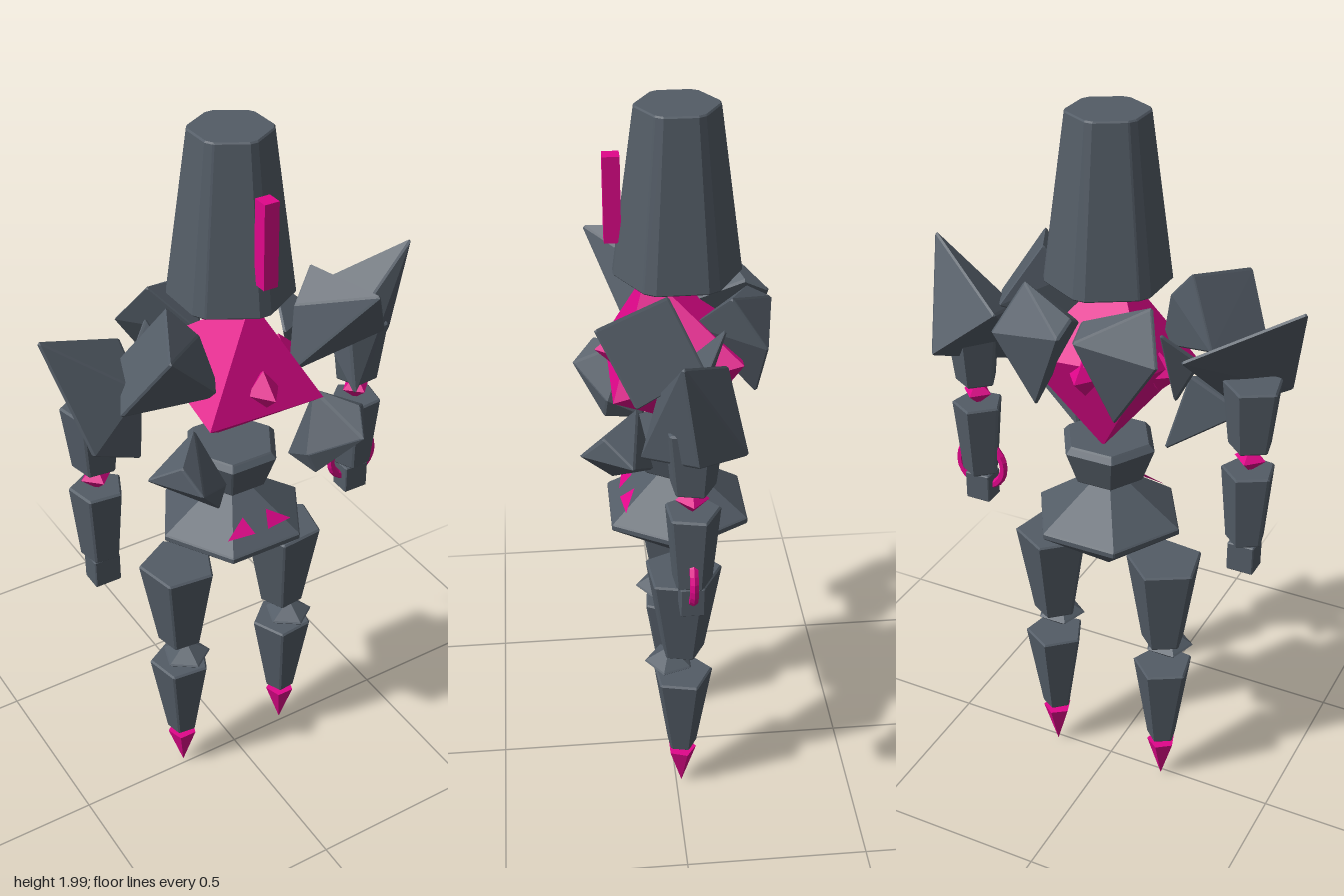
import * as THREE from 'three';
import { ConvexGeometry } from 'three/addons/geometries/ConvexGeometry.js';

const V = (x, y, z) => new THREE.Vector3(x, y, z);

// Regular ring of corner points; phase in degrees
function ring(sides, radius, y, phase = 0, cx = 0, cz = 0) {
  return Array.from({ length: sides }, (_, i) => {
    const a = THREE.MathUtils.degToRad(phase) + (i / sides) * Math.PI * 2;
    return V(cx + Math.cos(a) * radius, y, cz + Math.sin(a) * radius);
  });
}

// Convex stone block with narrow bevelled edges
function block(points, bevel = 0.006) {
  const center = points.reduce((s, p) => s.add(p), V(0, 0, 0)).divideScalar(points.length);
  const out = [];
  for (const p of points) {
    const q = p.clone().add(center.clone().sub(p).setLength(bevel * 1.3));
    for (const s of [-bevel, bevel]) {
      out.push(V(q.x + s, q.y, q.z), V(q.x, q.y + s, q.z), V(q.x, q.y, q.z + s));
    }
  }
  return new ConvexGeometry(out);
}

const mirror = (points, side) => points.map((p) => V(p.x * side, p.y, p.z));
const list = (rows) => rows.map((r) => V(...r));

export function createModel() {
  const model = new THREE.Group();
  model.name = 'crystalGolem';

  const stone = new THREE.MeshStandardMaterial({ color: 0x535c66, flatShading: true });
  stone.name = 'slate stone';
  const crystal = new THREE.MeshStandardMaterial({ color: 0xe0068a, flatShading: true, side: THREE.DoubleSide });
  crystal.name = 'magenta crystal';

  const add = (name, geometry, material, x = 0, y = 0, z = 0) => {
    const mesh = new THREE.Mesh(geometry, material);
    mesh.name = name;
    mesh.position.set(x, y, z);
    model.add(mesh);
    return mesh;
  };
  const gem = (name, x, y, z, rx, ry, rz) => {
    const mesh = add(name, new THREE.OctahedronGeometry(1), crystal, x, y, z);
    mesh.scale.set(rx, ry, rz);
    return mesh;
  };

  // Head: six sides with cut corners, and visor
  add('head', block([24, 36].flatMap((phase) => [
    ...ring(6, 0.16, 1.572, phase, 0, -0.016), ...ring(6, 0.102, 2.0, phase, 0, -0.016),
  ]), 0.004), stone);
  add('visor', new THREE.BoxGeometry(0.04, 0.22, 0.042), crystal, 0, 1.77, 0.143);

  // Chest core, tipped forward, with a small spike on each side
  const core = add('core', new THREE.OctahedronGeometry(0.238), crystal, 0, 1.348, -0.002);
  core.rotation.set(0.27, Math.PI / 4, -0.04, 'XZY');
  gem('coreSpikeFront', 0, 1.36, 0.135, 0.046, 0.058, 0.06);
  gem('coreSpikeBack', 0, 1.36, -0.145, 0.046, 0.058, 0.06);
  for (const s of [-1, 1]) gem('coreSpikeSide', s * 0.145, 1.345, -0.02, 0.06, 0.055, 0.046);

  // Waist and pelvis
  add('waist', block([
    ...ring(6, 0.122, 1.122, 0, 0, -0.015),
    ...ring(6, 0.135, 1.107, 0, 0, -0.015),
    ...ring(6, 0.1, 1.01, 0, 0, -0.015),
  ], 0.004), stone);
  add('pelvis', block([
    V(0, 1.035, -0.015), V(0, 0.712, -0.015),
    ...ring(6, 0.21, 0.883, 0, 0, -0.015), ...ring(6, 0.21, 0.87, 0, 0, -0.015),
  ], 0.004), stone);

  // Shoulder plates: the two sides are turned differently
  add('leftShoulderPlate', block(list([
    [0.522, 1.585, 0.02], [0.505, 1.31, -0.02], [0.455, 1.31, -0.14],
    [0.275, 1.45, -0.11], [0.31, 1.225, 0.1], [0.31, 1.4, 0.06],
  ])), stone);
  add('rightShoulderPlate', block(list([
    [-0.522, 1.585, -0.02], [-0.255, 1.45, -0.14], [-0.458, 1.31, 0.107],
    [-0.32, 1.24, 0.08], [-0.295, 1.42, 0.06],
  ])), stone);

  // Shards around the core, given for the +x side
  const shards = {
    collarShard: [[0.205, 1.605, 0.025], [0.295, 1.57, 0.205], [0.1, 1.36, 0.1],
      [0.385, 1.405, 0.115], [0.295, 1.45, -0.055], [0.135, 1.525, 0.06]],
    ribShard: [[0.325, 1.2, 0.12], [0.24, 1.195, 0.248], [0.145, 1.07, 0.165],
      [0.13, 1.075, 0.06], [0.18, 1.285, 0.1], [0.265, 1.255, 0.19], [0.12, 1.13, 0.16]],
    backShard: [[0.228, 1.46, -0.212], [0.018, 1.5, -0.25], [0.012, 1.53, -0.19],
      [0.065, 1.45, -0.045], [0.175, 1.575, -0.13], [0.11, 1.28, -0.205]],
    sideShard: [[0.275, 1.42, -0.06], [0.19, 1.5, -0.115], [0.16, 1.4, -0.015], [0.205, 1.29, -0.05]],
  };

  for (const s of [-1, 1]) {
    const side = s > 0 ? 'left' : 'right';
    for (const [name, rows] of Object.entries(shards)) {
      add(side + name[0].toUpperCase() + name.slice(1), block(mirror(list(rows), s)), stone);
    }
    // Five-sided tapered limb segment
    const limb = (name, x, z, y0, r0, y1, r1) => add(side + name, block(mirror([
      ...ring(5, r0, y0, 120, x, z), ...ring(5, r1, y1, 120, x, z),
    ], s), 0.005), stone);

    // Arm
    limb('UpperArm', 0.398, -0.015, 1.19, 0.057, 1.37, 0.078);
    gem(side + 'Elbow', s * 0.398, 1.157, -0.015, 0.042, 0.038, 0.042);
    limb('Forearm', 0.397, -0.015, 0.91, 0.051, 1.127, 0.071);
    add(side + 'Hand', block(mirror(list([-1, 1].flatMap((a) => [-1, 1].flatMap((b) => [-1, 1].map((c) =>
      [0.396 + a * 0.036, 0.866 + b * 0.041, -0.015 + c * 0.03])))), s), 0.003), stone);

    // Leg
    limb('Thigh', 0.17, -0.015, 0.502, 0.06, 0.775, 0.107);
    add(side + 'Knee', block([
      V(s * 0.172, 0.515, 0.02), V(s * 0.172, 0.415, 0.02),
      ...ring(5, 0.07, 0.468, 90, s * 0.172, 0.02),
    ], 0.004), stone);
    limb('Shin', 0.172, -0.015, 0.152, 0.04, 0.423, 0.085);
    const foot = add(side + 'FootSpike', new THREE.ConeGeometry(0.042, 0.13, 5), crystal, s * 0.172, 0.07, -0.015);
    foot.rotation.x = Math.PI;

    // Slanted mark lying just over the pelvis face
    const mark = new THREE.BufferGeometry().setFromPoints(mirror(list([
      [0.098, 0.917, 0.128], [0.02, 0.918, 0.139], [0.036, 0.954, 0.101],
    ]), s));
    mark.computeVertexNormals();
    add(side + 'PelvisMark', mark, crystal);
  }

  // Ring around the left wrist
  add('wristRing', new THREE.TorusGeometry(0.069, 0.012, 6, 24), crystal, 0.395, 0.93, -0.015);

  return model;
}
